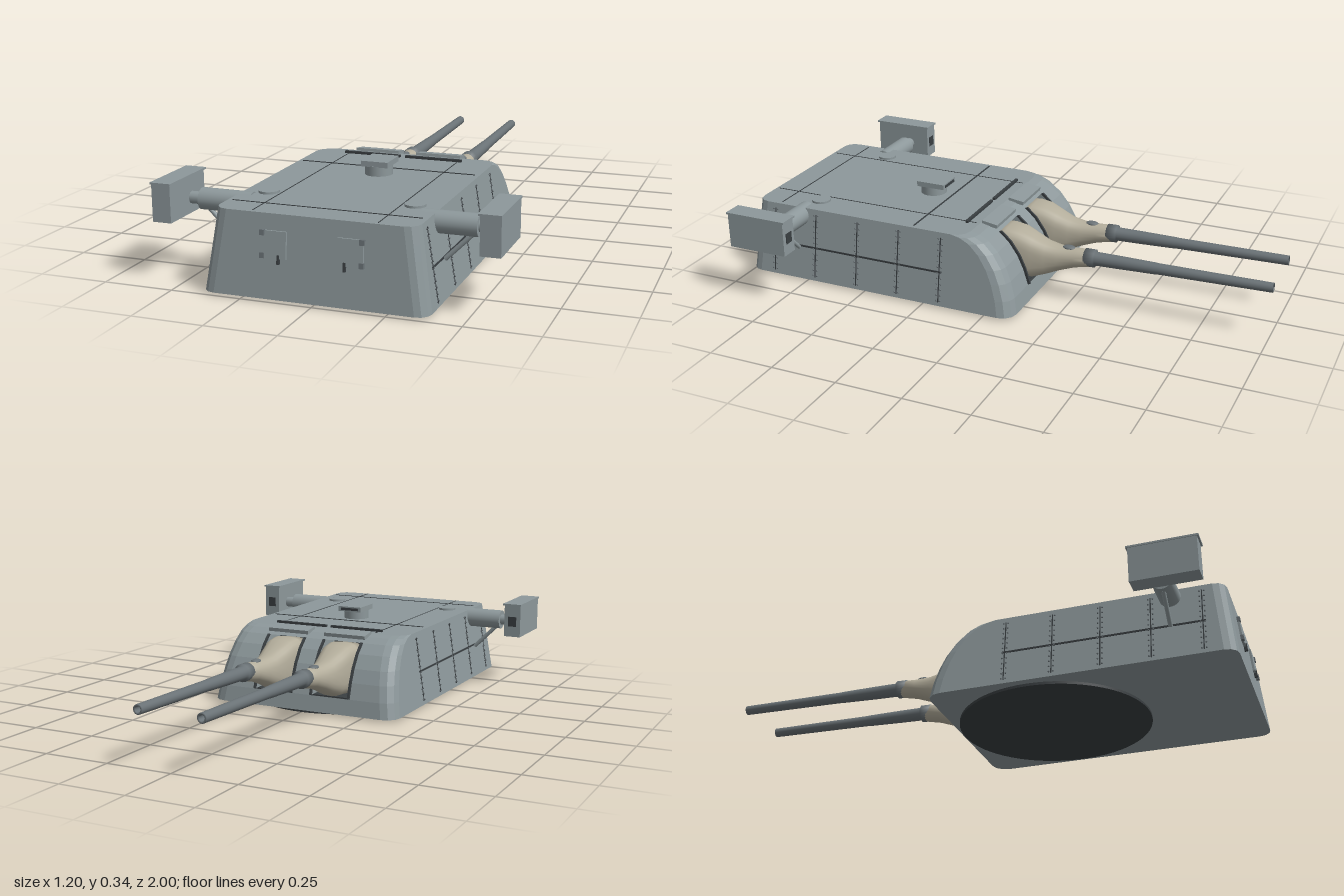
import * as THREE from 'three';

const mat = (color, extra = {}) => new THREE.MeshStandardMaterial({ color, ...extra });
const steel = mat(0x8d989b);
const hull = mat(0x8d989b, { flatShading: true, side: THREE.DoubleSide });
const dark = mat(0x3a3f42, { side: THREE.DoubleSide });
const gunmetal = mat(0x6a7276);
const canvas = mat(0xb4ae9c, { side: THREE.DoubleSide });

// hull levels: [height, forward edge z]
const LEVELS = [[0.01, -0.115], [0.07, -0.104], [0.13, -0.085], [0.18, -0.062],
  [0.23, -0.027], [0.265, 0.012], [0.283, 0.05], [0.29, 0.085]];
const SLOT = [0.042, 0.2];
const GUN_X = 0.121;
const up = (y) => (y - 0.01) / 0.28;
const sideX = (y) => 0.39 - 0.043 * up(y);
const rearZ = (y) => 1 - 0.028 * up(y);

function add(parent, name, geo, material, x = 0, y = 0, z = 0) {
  const m = new THREE.Mesh(geo, material);
  m.name = name;
  m.position.set(x, y, z);
  parent.add(m);
  return m;
}
const box = (w, h, d) => new THREE.BoxGeometry(w, h, d);
const cyl = (r, h, n = 24, r2 = r) => new THREE.CylinderGeometry(r, r2, h, n);

// rod between two points
function rod(parent, name, a, b, r, material) {
  const d = b.clone().sub(a);
  const m = add(parent, name, cyl(r, d.length(), 12), material);
  m.position.copy(a).add(b).multiplyScalar(0.5);
  m.quaternion.setFromUnitVectors(new THREE.Vector3(0, 1, 0), d.normalize());
  return m;
}

// stacked closed rings; skip(level, column) leaves openings
function loft(rings, skip = () => false, caps = true) {
  const n = rings[0].length, idx = [], pos = rings.flat(2);
  for (let l = 0; l < rings.length - 1; l++) for (let i = 0; i < n; i++) {
    if (skip(l, i)) continue;
    const a = l * n + i, b = l * n + (i + 1) % n;
    idx.push(a, a + n, b + n, a, b + n, b);
  }
  if (caps) for (const l of [0, rings.length - 1]) {
    for (let i = 1; i < n - 1; i++) {
      const a = l * n;
      idx.push(...(l ? [a, a + i + 1, a + i] : [a, a + i, a + i + 1]));
    }
  }
  const g = new THREE.BufferGeometry();
  g.setAttribute('position', new THREE.Float32BufferAttribute(pos, 3));
  g.setIndex(idx);
  g.computeVertexNormals();
  return g;
}

function hullRing([y, zf]) {
  const hw = sideX(y), zr = rearZ(y), pts = [];
  const corner = (cx, cz, r, a0) => {
    for (let k = 0; k <= 3; k++) {
      const a = a0 + (k / 3) * Math.PI / 2;
      pts.push([cx + r * Math.cos(a), y, cz + r * Math.sin(a)]);
    }
  };
  const r = 0.055, q = 0.045;
  for (const x of [-SLOT[1], -SLOT[0], SLOT[0], SLOT[1]]) pts.push([x, y, zf]);
  corner(hw - r, zf + r, r, -Math.PI / 2);
  corner(hw - q, zr - q, q, 0);
  corner(-hw + q, zr - q, q, Math.PI / 2);
  corner(-hw + r, zf + r, r, Math.PI);
  return pts;
}

// closed side outline (z, y) turned into the zy plane
function slotShape(closing) {
  const s = new THREE.Shape();
  const edge = LEVELS.slice(1, 6);
  edge.forEach(([y, z], i) => (i ? s.lineTo(z, y) : s.moveTo(z, y)));
  closing(edge).forEach(([z, y]) => s.lineTo(z, y));
  return s;
}

function gun(side) {
  const g = new THREE.Group();
  g.name = 'gun';
  // canvas blast bag: [z, centre height, half width, half height, squareness]
  const sections = [[0.06, 0.165, 0.072, 0.09, 0.5], [0, 0.167, 0.074, 0.098, 0.55],
    [-0.05, 0.167, 0.07, 0.093, 0.6], [-0.1, 0.158, 0.062, 0.083, 0.7], [-0.15, 0.157, 0.052, 0.064, 0.8],
    [-0.2, 0.164, 0.043, 0.049, 0.9], [-0.26, 0.175, 0.036, 0.038, 1], [-0.33, 0.185, 0.032, 0.032, 1]];
  const pw = (v, e) => Math.sign(v) * Math.abs(v) ** e;
  const rings = sections.map(([z, cy, w, h, e]) => Array.from({ length: 24 }, (_, k) => {
    const a = -k / 24 * Math.PI * 2;
    return [w * pw(Math.cos(a), e), cy + h * pw(Math.sin(a), e), z];
  }));
  add(g, 'blastBag', loft(rings), canvas);
  const port = add(g, 'bagPort', new THREE.SphereGeometry(0.017, 12, 8), gunmetal, 0, 0.211, -0.235);
  port.scale.set(1, 0.5, 1.5);
  // barrel with collar and open muzzle
  const prof = [[0, -0.03], [0.034, -0.03], [0.034, 0.008], [0.026, 0.012], [0.025, 0.1], [0.022, 0.24],
    [0.021, 0.25], [0.018, 0.67], [0.011, 0.67], [0.011, 0.6], [0, 0.6]].map((p) => new THREE.Vector2(...p));
  const barrel = add(g, 'barrel', new THREE.LatheGeometry(prof, 20).toNonIndexed().rotateX(-Math.PI / 2), gunmetal, 0, 0.185, -0.33);
  barrel.rotation.x = 0.018;
  g.position.x = side * GUN_X;
  return g;
}

export function createModel() {
  const root = new THREE.Group();
  root.name = 'gunTurret';

  // armoured house with two gun openings
  add(root, 'house', loft(LEVELS.map(hullRing), (l, i) => (i === 0 || i === 2) && l >= 1 && l < 5), hull);
  add(root, 'baseRing', cyl(0.36, 0.012, 64), dark, 0, 0.006, 0.255);

  const wall = new THREE.ShapeGeometry(slotShape(() => [[0.1, 0.265], [0.1, 0.07]])).rotateY(-Math.PI / 2);
  const trim = new THREE.ExtrudeGeometry(
    slotShape((e) => [...e].reverse().map(([y, z]) => [z - 0.009, y + 0.004])),
    { depth: 0.008, bevelEnabled: false }).rotateY(-Math.PI / 2);
  for (const s of [-1, 1]) {
    // gun openings, hoods and guns
    for (const x of SLOT) {
      add(root, 'openingWall', wall, hull, s * x);
      add(root, 'openingTrim', trim, dark, s * x + 0.004);
    }
    add(root, 'openingBack', box(0.158, 0.195, 0.004), dark, s * GUN_X, 0.1675, 0.1);
    add(root, 'openingFloor', box(0.156, 0.004, 0.19), dark, s * GUN_X, 0.07, 0.003);
    const hood = add(root, 'gunHood', box(0.172, 0.014, 0.062), steel, s * GUN_X, 0.288, 0.05);
    hood.rotation.x = -0.15;
    root.add(gun(s));

    // roof fittings
    add(root, 'roofRail', box(0.22, 0.012, 0.011), dark, s * 0.12, 0.293, 0.132);
    add(root, 'roofHatch', cyl(0.036, 0.01), steel, s * 0.26, 0.293, 0.74);
    add(root, 'roofSeam', box(0.003, 0.003, 0.86), dark, s * 0.215, 0.29, 0.53);

    // side seams, following the sloped wall
    const lean = s * Math.atan(0.043 / 0.28);
    add(root, 'sideSeam', box(0.004, 0.007, 0.73), dark, s * sideX(0.14), 0.14, 0.535);
    const rivet = new THREE.SphereGeometry(0.0038, 6, 4);
    for (const z of [0.18, 0.355, 0.53, 0.71, 0.89]) {
      const seam = add(root, 'plateSeam', box(0.003, 0.25, 0.004), dark, s * sideX(0.147), 0.147, z);
      seam.rotation.z = lean;
      for (let k = 0; k < 12; k++) for (const dz of [-0.008, 0.008]) {
        const y = 0.03 + k * 0.0215;
        add(root, 'rivet', rivet, gunmetal, s * sideX(y), y, z + dz);
      }
    }

    // rangefinder arm and head
    const arm = new THREE.Group();
    arm.name = 'rangefinderArm';
    const p = (x, y, z = 0.78) => new THREE.Vector3(s * x, y, z);
    rod(arm, 'armTube', p(0.3, 0.258), p(0.49, 0.258), 0.038, steel).geometry = cyl(0.038, 0.19, 28);
    rod(arm, 'armNeck', p(0.48, 0.258), p(0.54, 0.258), 0.022, steel);
    rod(arm, 'armStrut', p(0.465, 0.225), p(0.375, 0.135), 0.008, steel);
    add(arm, 'head', box(0.068, 0.13, 0.235), steel, s * 0.565, 0.27, 0.81);
    add(arm, 'headLid', box(0.076, 0.007, 0.247), steel, s * 0.5635, 0.338, 0.81);
    add(arm, 'lensWindow', box(0.034, 0.04, 0.004), dark, s * 0.565, 0.268, 0.692);
    root.add(arm);

    // rear doors with hinges and handle
    const door = new THREE.Group();
    door.name = 'rearDoor';
    add(door, 'doorPlate', box(0.088, 0.09, 0.016), steel);
    for (const y of [0.037, -0.037]) add(door, 'hinge', box(0.016, 0.018, 0.02), gunmetal, s * 0.039, y, 0.002);
    add(door, 'handle', box(0.008, 0.03, 0.02), dark, -s * 0.018, -0.047, 0.002);
    door.position.set(s * 0.131, 0.191, rearZ(0.191));
    door.rotation.x = -0.1;
    root.add(door);
  }
  for (const z of [0.3, 0.87]) add(root, 'roofCrossSeam', box(0.66, 0.004, z < 0.5 ? 0.006 : 0.003), dark, 0, 0.29, z);

  // commander's periscope
  add(root, 'periscopeBase', cyl(0.05, 0.04, 28), steel, 0, 0.305, 0.385);
  add(root, 'periscopeCap', box(0.1, 0.02, 0.115), steel, 0, 0.333, 0.375);
  add(root, 'periscopeSlit', box(0.075, 0.01, 0.004), dark, 0, 0.333, 0.317);
  return root;
}
